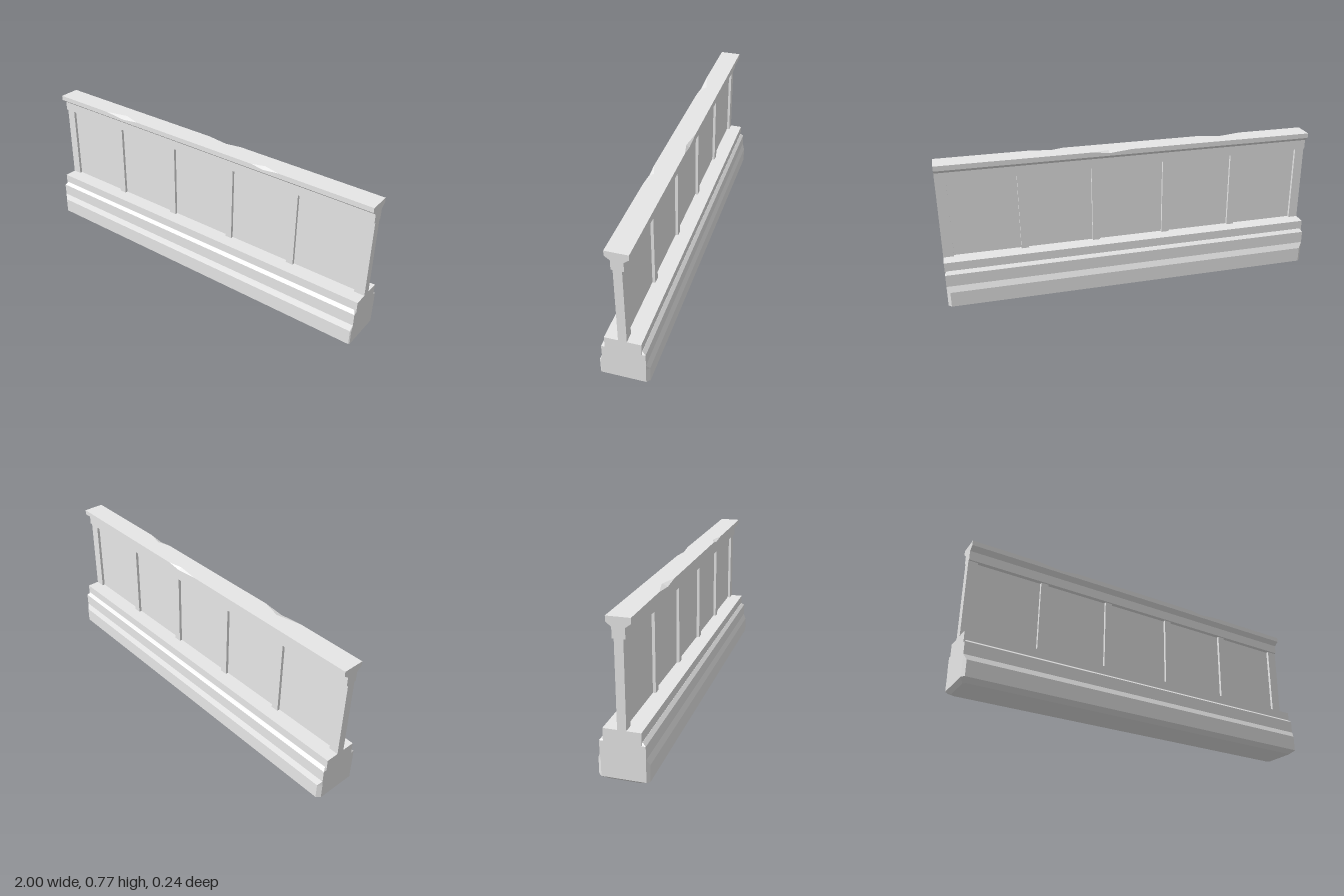
import * as THREE from 'three';

const stone = new THREE.MeshStandardMaterial({ color: 0xe7e7e7 });
stone.name = 'pale stone';

// Skin a stack of rings (each counter-clockwise about the sweep axis) with flat facets and closed ends
function loft(rings) {
  const out = [];
  const ab = new THREE.Vector3(), ac = new THREE.Vector3();
  const tri = (a, b, c) => {
    ab.subVectors(b, a);
    ac.subVectors(c, a);
    if (ab.cross(ac).length() > 1e-9) out.push(...a.toArray(), ...b.toArray(), ...c.toArray());
  };
  const n = rings[0].length;
  for (let r = 0; r < rings.length - 1; r++) {
    for (let i = 0; i < n; i++) {
      const j = (i + 1) % n, a = rings[r], b = rings[r + 1];
      tri(a[i], a[j], b[j]);
      tri(a[i], b[j], b[i]);
    }
  }
  const centre = (ring) => ring.reduce((s, p) => s.add(p), new THREE.Vector3()).divideScalar(n);
  const first = rings[0], last = rings[rings.length - 1];
  const c0 = centre(first), c1 = centre(last);
  for (let i = 0; i < n; i++) {
    const j = (i + 1) % n;
    tri(c0, first[j], first[i]);
    tri(c1, last[i], last[j]);
  }
  const geo = new THREE.BufferGeometry();
  geo.setAttribute('position', new THREE.Float32BufferAttribute(out, 3));
  geo.computeVertexNormals();
  return geo;
}

// One level of the plinth: a rectangle with its four corners worn by different amounts
function plinthRing(y, hx, hz, wear) {
  const [fr, br, bl, fl] = [0.005, 0.016, 0.018, 0.014].map((c) => c * wear);
  return [
    [hx - fr, hz], [hx, hz - fr], [hx, -hz + br], [hx - br, -hz],
    [-hx + bl, -hz], [-hx, -hz + bl], [-hx, hz - fl], [-hx + fl, hz],
  ].map(([x, z]) => new THREE.Vector3(x, y, z));
}

// One section of the coping; f and b are chip sizes [inward, downward] on the front and back edges
function copingRing(x, f, b) {
  const top = 0.771, w = 0.056;
  return [
    [top, w - f[0]], [top - f[1], w], [0.745, w], [0.725, 0.03], [0.675, 0.03],
    [0.675, -0.03], [0.725, -0.03], [0.745, -w], [top - b[1], -w], [top, -w + b[0]],
  ].map(([y, z]) => new THREE.Vector3(x, y, z));
}

export function createModel() {
  const group = new THREE.Group();
  group.name = 'stoneBarrier';
  const add = (name, geo, x = 0, y = 0, z = 0) => {
    const mesh = new THREE.Mesh(geo, stone);
    mesh.name = name;
    mesh.position.set(x, y, z);
    group.add(mesh);
  };

  // Plinth with bevelled foot, sloping shoulder and top chamfer
  add('plinth', loft([
    plinthRing(0, 0.98, 0.09, 1),
    plinthRing(0.018, 1, 0.121, 1),
    plinthRing(0.1, 1, 0.121, 1),
    plinthRing(0.13, 1, 0.107, 0),
    plinthRing(0.195, 1, 0.107, 0),
    plinthRing(0.21, 0.99, 0.09, 0),
  ]));
  add('plinthStep', new THREE.BoxGeometry(2, 0.062, 0.178), 0, 0.226, 0);

  // Recessed panel wall and the posts that divide it
  const y0 = 0.257, y1 = 0.676, h = y1 - y0, mid = (y0 + y1) / 2;
  add('panelWall', new THREE.BoxGeometry(1.98, h, 0.012), 0, mid, 0);
  const posts = [[-1, -0.95], [-0.605, -0.565], [-0.22, -0.18], [0.17, 0.208], [0.555, 0.595], [0.945, 1]];
  for (const [a, b] of posts) {
    add('post', new THREE.BoxGeometry(b - a, h, 0.042), (a + b) / 2, mid, 0);
  }

  // Coping with two chips in the front edge and one in the back edge
  const none = [0, 0];
  add('coping', loft([
    copingRing(-1, none, none),
    copingRing(-0.64, none, none),
    copingRing(-0.51, [0.03, 0.012], none),
    copingRing(-0.41, none, none),
    copingRing(0, none, none),
    copingRing(0.12, none, [0.016, 0.012]),
    copingRing(0.2, none, none),
    copingRing(0.34, none, none),
    copingRing(0.41, [0.022, 0.01], none),
    copingRing(0.5, none, none),
    copingRing(1, none, none),
  ]));

  return group;
}
